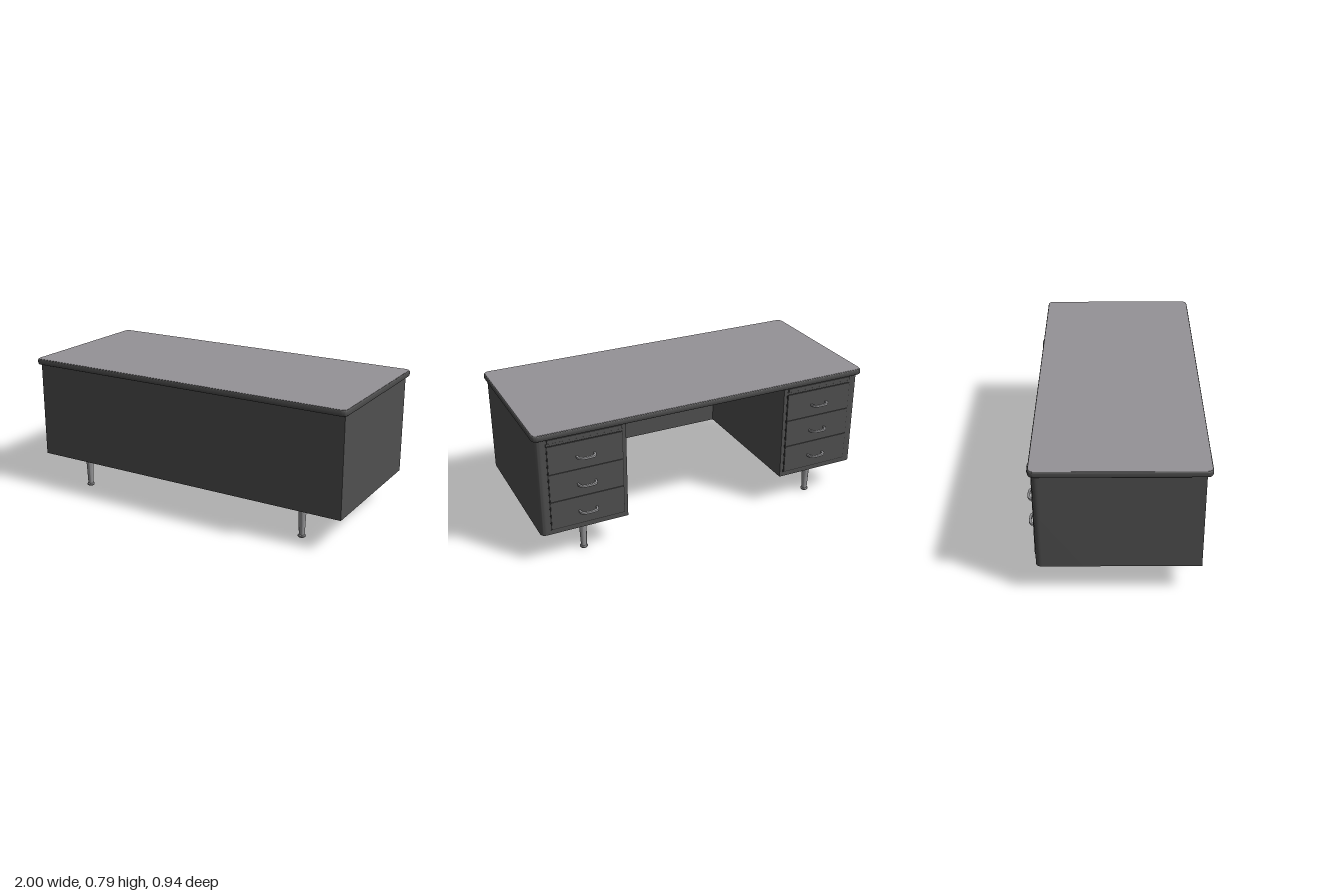
import * as THREE from 'three';
import { toCreasedNormals } from 'three/addons/utils/BufferGeometryUtils.js';

const material = (name, color) => new THREE.MeshStandardMaterial({ name, color });

export function createModel() {
  const desk = new THREE.Group();
  desk.name = 'desk';
  const steel = material('dark painted steel', 0x505050);
  const trim = material('dark edge trim', 0x4c4c4c);
  const laminate = material('grey laminate', 0x959297);
  const metal = material('brushed metal', 0x949496);
  const gap = material('shadow gap', 0x2c2c2c);

  const add = (name, geometry, mat, x = 0, y = 0, z = 0) => {
    const mesh = new THREE.Mesh(geometry, mat);
    mesh.name = name;
    mesh.position.set(x, y, z);
    desk.add(mesh);
    return mesh;
  };
  const box = (name, w, h, d, mat, x, y, z) => add(name, new THREE.BoxGeometry(w, h, d), mat, x, y, z);

  // Raises a plan outline (x, -z) upwards into a solid
  const raise = (shape, height, bevel = 0) => {
    const g = new THREE.ExtrudeGeometry(shape, {
      depth: height - 2 * bevel, curveSegments: 8, bevelEnabled: bevel > 0,
      bevelSize: bevel, bevelThickness: bevel, bevelOffset: -bevel, bevelSegments: 4,
    });
    g.translate(0, 0, bevel);
    g.rotateX(-Math.PI / 2);
    return toCreasedNormals(g, 0.6);
  };

  const roundedPlan = (x, back, front, r) => {
    const s = new THREE.Shape();
    s.moveTo(-x + r, -front);
    s.lineTo(x - r, -front);
    s.quadraticCurveTo(x, -front, x, -front + r);
    s.lineTo(x, -back - r);
    s.quadraticCurveTo(x, -back, x - r, -back);
    s.lineTo(-x + r, -back);
    s.quadraticCurveTo(-x, -back, -x, -back - r);
    s.lineTo(-x, -front + r);
    s.quadraticCurveTo(-x, -front, -x + r, -front);
    return s;
  };

  // Desktop: dark rounded slab with a laminate sheet
  add('desktopEdge', raise(roundedPlan(1, -0.442, 0.47, 0.035), 0.034, 0.009), trim, 0, 0.754, 0);
  add('desktopSurface', raise(roundedPlan(0.994, -0.436, 0.464, 0.03), 0.004), laminate, 0, 0.785, 0);

  // Modesty panel across the front
  box('modestyPanel', 0.98, 0.57, 0.02, steel, 0, 0.471, 0.43);

  // Curved pull handle, arching out towards -z
  const pull = new THREE.Shape();
  pull.moveTo(-0.055, 0);
  pull.bezierCurveTo(-0.055, 0.04, -0.04, 0.043, 0, 0.043);
  pull.bezierCurveTo(0.04, 0.043, 0.055, 0.04, 0.055, 0);
  pull.lineTo(0.044, 0);
  pull.bezierCurveTo(0.044, 0.026, 0.034, 0.03, 0, 0.03);
  pull.bezierCurveTo(-0.034, 0.03, -0.044, 0.026, -0.044, 0);
  const pullGeometry = raise(pull, 0.012, 0.002);

  // Tapered leg with a small foot
  const legGeometry = toCreasedNormals(new THREE.LatheGeometry([
    [0, 0], [0.019, 0], [0.022, 0.004], [0.022, 0.009], [0.019, 0.013],
    [0.016, 0.014], [0.023, 0.182], [0, 0.182],
  ].map(([r, y]) => new THREE.Vector2(r, y)), 24), 0.6);

  for (const side of [1, -1]) {
    const cx = side * 0.717;

    // Pedestal with a rounded outer back corner
    const plan = new THREE.Shape();
    plan.moveTo(side * 0.485, -0.44);
    plan.lineTo(side * 0.983, -0.44);
    plan.lineTo(side * 0.983, 0.39);
    plan.quadraticCurveTo(side * 0.983, 0.425, side * 0.948, 0.425);
    plan.lineTo(side * 0.485, 0.425);
    plan.closePath();
    add('pedestal', raise(plan, 0.57), steel, 0, 0.186, 0);

    // Dark reveal behind the drawers, and pull-out writing board
    box('drawerReveal', 0.424, 0.5, 0.002, gap, cx, 0.463, -0.4255);
    box('writingBoard', 0.41, 0.02, 0.016, steel, cx, 0.74, -0.425);
    box('boardRail', 0.424, 0.012, 0.004, steel, cx, 0.721, -0.426);

    // Three drawers with handles
    [0.63, 0.465, 0.3].forEach((y) => {
      box('drawerFront', 0.415, 0.161, 0.014, steel, cx, y, -0.424);
      add('drawerHandle', pullGeometry, metal, cx, y - 0.014, -0.429);
    });

    // Legs on square mounting plates
    for (const z of [0.352, -0.342]) {
      add('leg', legGeometry, metal, side * 0.722, 0, z);
      box('legPlate', 0.1, 0.006, 0.095, steel, side * 0.722, 0.184, z);
    }
  }
  return desk;
}
